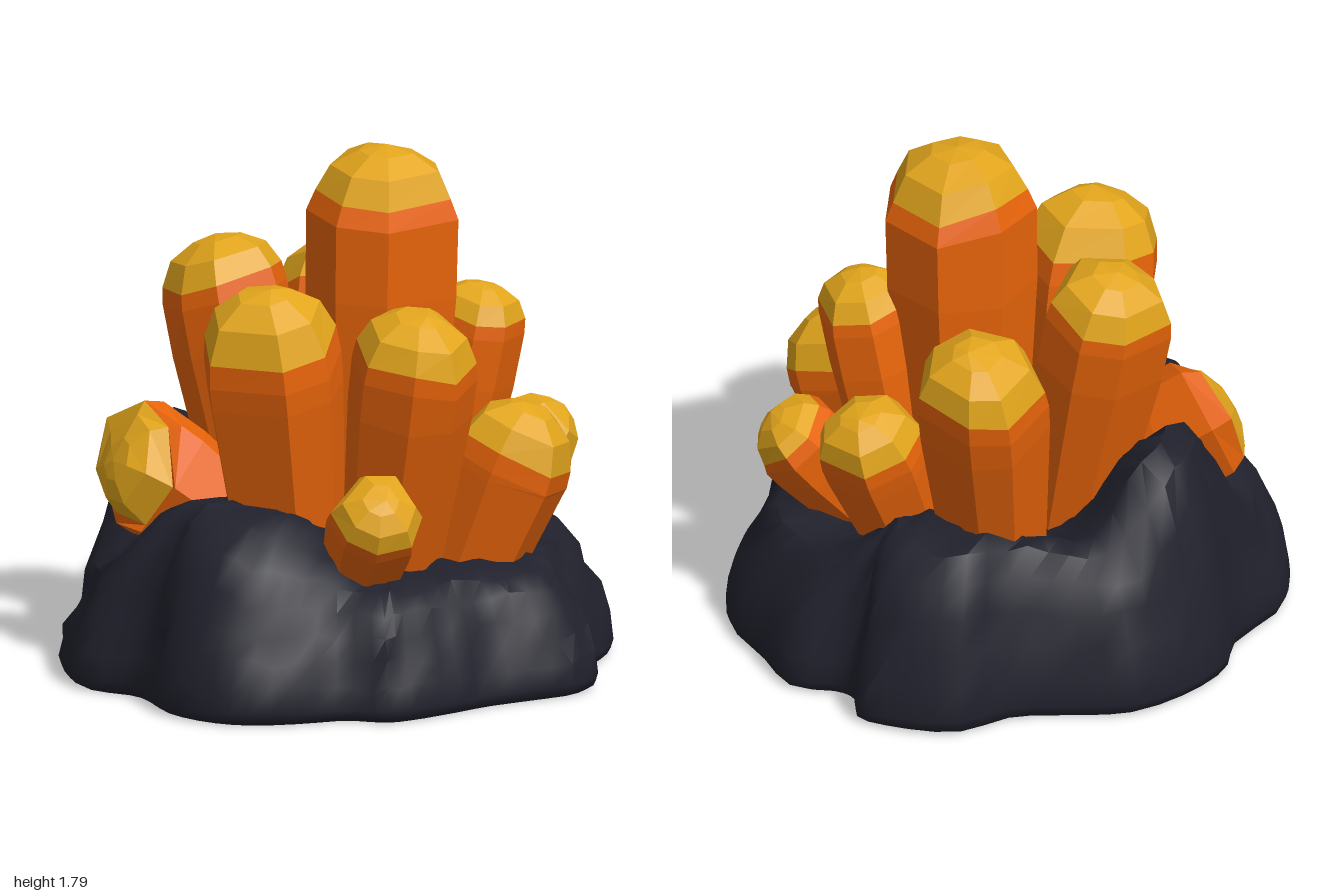
import * as THREE from 'three';
import { toCreasedNormals } from 'three/addons/utils/BufferGeometryUtils.js';

const mat = (name, color) => {
  const m = new THREE.MeshStandardMaterial({ color });
  m.name = name;
  return m;
};

// small seeded generator, returns -1..1
function seeded(seed) {
  let s = seed * 7919 + 17;
  return () => {
    s = (s * 16807) % 2147483647;
    return (s / 2147483647) * 2 - 1;
  };
}

// skin a stack of rings (listed upwards), with optional centre points closing the ends
function loft(rings, bottom, top) {
  const pos = [];
  const tri = (...pts) => pts.forEach((p) => pos.push(p.x, p.y, p.z));
  const n = rings[0].length;
  for (let j = 0; j < n; j++) {
    const k = (j + 1) % n;
    for (let i = 0; i < rings.length - 1; i++) {
      const [a, b, c, d] = [rings[i][j], rings[i][k], rings[i + 1][j], rings[i + 1][k]];
      tri(a, c, b);
      tri(b, c, d);
    }
    if (bottom) tri(bottom, rings[0][j], rings[0][k]);
    if (top) tri(top, rings.at(-1)[k], rings.at(-1)[j]);
  }
  const g = new THREE.BufferGeometry();
  g.setAttribute('position', new THREE.Float32BufferAttribute(pos, 3));
  g.computeVertexNormals();
  return g;
}

// footprint of the rock as x, z pairs
const OUTLINE = [
  [0.92, -0.1], [0.94, 0.05], [0.85, 0.2], [0.75, 0.35], [0.68, 0.5], [0.6, 0.65], [0.54, 0.72],
  [0.4, 0.76], [0.27, 0.88], [0.12, 0.98], [-0.03, 1], [-0.2, 0.95], [-0.33, 0.84], [-0.42, 0.78],
  [-0.6, 0.77], [-0.72, 0.66], [-0.85, 0.45], [-0.87, 0.15], [-0.94, 0], [-0.93, -0.2],
  [-0.85, -0.42], [-0.7, -0.55], [-0.54, -0.68], [-0.44, -0.88], [-0.25, -0.98], [-0.11, -1],
  [-0.03, -0.91], [0.05, -0.9], [0.2, -0.96], [0.4, -0.86], [0.6, -0.76], [0.75, -0.55],
  [0.8, -0.35], [0.79, -0.17],
];

// flat-topped humps on the rock: x, z, extra height, spread
const HUMPS = [
  [-0.69, 0.06, 0.38, 0.27],
  [-0.13, 0.52, 0.23, 0.36],
  [-0.25, -0.68, 0.2, 0.34],
  [-0.66, -0.35, 0.12, 0.25],
];
const rockHeight = (x, z) => HUMPS.reduce(
  (h, [hx, hz, amp, w]) => h + amp * Math.exp(-((Math.hypot(x - hx, z - hz) / w) ** 4)), 0.43);

// scale of the footprint and share of the local height, from the ground up
const ROCK_PROFILE = [
  [0.965, 0], [0.99, 0.03], [1, 0.1], [0.985, 0.28], [0.95, 0.48], [0.91, 0.66], [0.87, 0.83],
  [0.8, 0.96], [0.7, 1], [0.55, 1], [0.3, 1],
];

function makeRock(material) {
  const rand = seeded(5);
  const curve = new THREE.CatmullRomCurve3(
    OUTLINE.map(([x, z]) => new THREE.Vector3(x, 0, z)), true);
  const edge = curve.getPoints(80).slice(0, 80);
  const rings = ROCK_PROFILE.map(([s, f], i) => edge.map((p) => {
    const rough = i < 3 ? 0 : 0.013;
    const lump = rough * Math.sin(p.x * 9 + i * 1.3) * Math.cos(p.z * 8 - i);
    const k = s + lump + rand() * rough;
    const x = p.x * k, z = p.z * k;
    return new THREE.Vector3(x, f * rockHeight(x, z) + lump + rand() * rough, z);
  }));
  const geo = loft(rings, new THREE.Vector3(), new THREE.Vector3(0, rockHeight(0, 0), 0));
  const rock = new THREE.Mesh(toCreasedNormals(geo, 0.85), material);
  rock.name = 'rockBase';
  return rock;
}

// crystals: name, root, tip, radius, tip height, shoulder taper, lean of the tip in x and z
const CRYSTALS = [
  ['centreCrystal', [0.07, 0.3, -0.13], [0.1, 1.79, -0.13], 0.265, 0.17, 0.89, [0.03, 0.02]],
  ['frontCrystal', [-0.06, 0.3, 0.26], [-0.07, 1.4, 0.46], 0.235, 0.21],
  ['leftOuterCrystal', [-0.25, 0.3, 0], [-0.49, 1.44, -0.02], 0.21, 0.15],
  ['frontRightCrystal', [0.24, 0.3, 0.15], [0.45, 1.34, 0.31], 0.22, 0.16],
  ['innerSideCrystal', [0.2, 0.3, -0.25], [0.37, 1.3, -0.33], 0.17, 0.12],
  ['sideCrystal', [0.4, 0.25, -0.06], [0.66, 0.95, -0.12], 0.2, 0.17],
  ['backCornerCrystal', [0.26, 0.28, -0.28], [0.5, 0.82, -0.64], 0.16, 0.1, 0.9, [0.25, 0]],
  ['backCrystal', [0.08, 0.3, -0.38], [0.1, 1.0, -0.7], 0.18, 0.14],
  ['backOuterCrystal', [-0.2, 0.3, -0.33], [-0.31, 1.34, -0.59], 0.22, 0.18],
  ['frontLowCrystal', [-0.2, 0.4, 0.2], [-0.65, 0.75, 0.41], 0.215, 0.08, 0.85, [0.05, 0.55]],
  ['frontSmallCrystal', [0.18, 0.32, 0.27], [0.46, 0.76, 0.62], 0.16, 0.11],
];

function makeCrystal([name, root, tip, r, tipH, taper = 0.96, lean = [0, 0]], seed, bodyMat, tipMat) {
  const rand = seeded(seed + 3);
  const sides = 7;
  const from = new THREE.Vector3(...root);
  const axis = new THREE.Vector3(...tip).sub(from);
  const len = axis.length();
  const corners = Array.from({ length: sides }, (_, i) => {
    const a = ((i + rand() * 0.2) / sides) * Math.PI * 2 + seed;
    const drop = (Math.cos(a) * lean[0] + Math.sin(a) * lean[1]) * r;
    return { a, k: 1.03 + rand() * 0.05, dy: rand() * 0.12 * tipH - drop };
  });
  // ring across the crystal; shift moves it towards the lean
  const ring = (scale, y, wobble = 0, shift = 0) => corners.map(({ a, k, dy }) => new THREE.Vector3(
    (Math.cos(a) * k * scale + lean[0] * shift) * r,
    y + dy * wobble,
    (Math.sin(a) * k * scale + lean[1] * shift) * r));

  const shoulder = ring(taper, len - tipH, 1.3);
  const body = loft([ring(0.74, 0), ring(0.99, len * 0.66), ring(1, len - tipH * 1.4, 1), shoulder]);
  const apex = new THREE.Vector3(
    (rand() * 0.15 + lean[0] * 0.5) * r, len, (rand() * 0.15 + lean[1] * 0.5) * r);
  const cap = loft([
    shoulder,
    ring(0.8 * taper, len - tipH * 0.45, 0.7, 0.2),
    ring(0.4 * taper, len - tipH * 0.12, 0.3, 0.4),
  ], null, apex);

  const group = new THREE.Group();
  group.name = name;
  [['crystalBody', body, bodyMat], ['crystalTip', cap, tipMat]].forEach(([n, g, m]) => {
    const mesh = new THREE.Mesh(g, m);
    mesh.name = n;
    group.add(mesh);
  });
  group.position.copy(from);
  group.quaternion.setFromUnitVectors(new THREE.Vector3(0, 1, 0), axis.normalize());
  return group;
}

export function createModel() {
  const rockMat = mat('darkRock', 0x20212c);
  const bodyMat = mat('orangeCrystal', 0xe8640a);
  const tipMat = mat('goldenTip', 0xe2a51c);

  const model = new THREE.Group();
  model.name = 'crystalCluster';
  model.add(makeRock(rockMat));
  CRYSTALS.forEach((c, i) => model.add(makeCrystal(c, i, bodyMat, tipMat)));
  return model;
}
